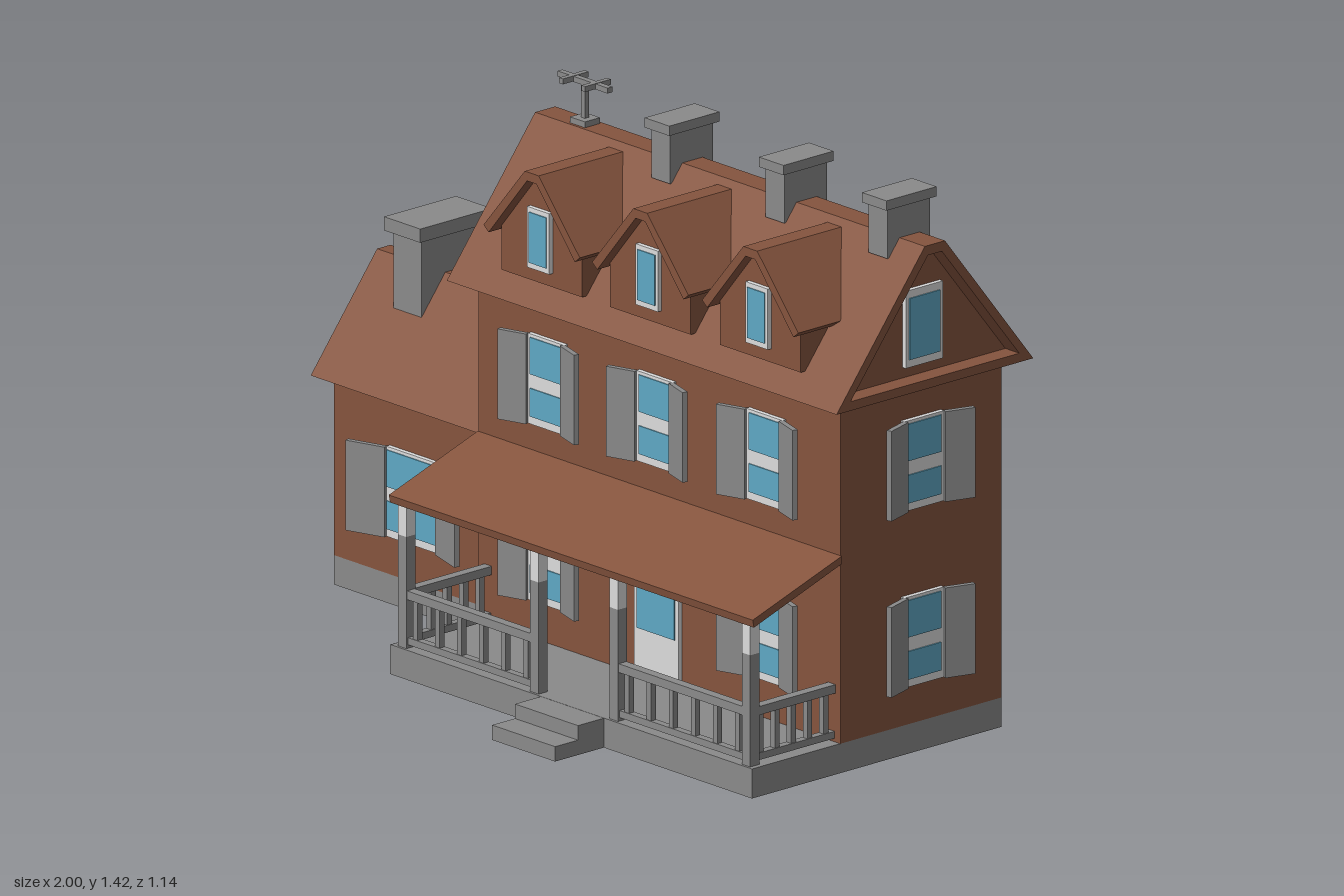
import * as THREE from 'three';

const mat = (name, color, side = THREE.FrontSide) => {
  const m = new THREE.MeshStandardMaterial({ color, side });
  m.name = name;
  return m;
};
const BRICK = mat('brick brown', 0x85543e, THREE.DoubleSide);
const STONE = mat('stone grey', 0x8a8a8a, THREE.DoubleSide);
const TRIM = mat('white trim', 0xdcdcdc);
const GLASS = mat('window blue', 0x5fa8c4);

function add(parent, name, geo, material) {
  const mesh = new THREE.Mesh(geo, material);
  mesh.name = name;
  parent.add(mesh);
  return mesh;
}

// Box given by its min and max on each axis; faces in "skip" are left out (2 = top, 3 = bottom)
function block(parent, name, [x0, x1], [y0, y1], [z0, z1], material, skip = []) {
  const geo = new THREE.BoxGeometry(x1 - x0, y1 - y0, z1 - z0);
  geo.translate((x0 + x1) / 2, (y0 + y1) / 2, (z0 + z1) / 2);
  if (skip.length) {
    const index = Array.from(geo.index.array).filter((_, i) => !skip.includes(Math.floor(i / 6)));
    geo.setIndex(index);
    geo.clearGroups();
  }
  return add(parent, name, geo, material);
}

// Profile of [z, y] points drawn out along x
function prismX(parent, name, pts, x0, x1, material, hole) {
  const flip = (p) => p.map(([z, y]) => new THREE.Vector2(-z, y));
  const shape = new THREE.Shape(flip(pts));
  if (hole) shape.holes.push(new THREE.Path(flip(hole)));
  const geo = new THREE.ExtrudeGeometry(shape, { depth: x1 - x0, bevelEnabled: false });
  geo.rotateY(Math.PI / 2).translate(x0, 0, 0);
  return add(parent, name, geo, material);
}

// Profile of [x, y] points drawn out along z
function prismZ(parent, name, pts, z0, z1, material) {
  const shape = new THREE.Shape(pts.map(([x, y]) => new THREE.Vector2(x, y)));
  const geo = new THREE.ExtrudeGeometry(shape, { depth: z1 - z0, bevelEnabled: false });
  geo.translate(0, 0, z0);
  return add(parent, name, geo, material);
}

// Local frame facing +z, turned to sit on a wall
function mount(parent, name, x, y, z, turn) {
  const g = new THREE.Group();
  g.name = name;
  g.position.set(x, y, z);
  g.rotation.y = turn;
  parent.add(g);
  return g;
}

// Plate with a frame and panes, each pane [x half width, y0, y1]
function glazed(g, w, h, panes, depth = 0.012) {
  block(g, 'frame', [-w / 2, w / 2], [0, h], [-0.005, depth], TRIM);
  for (const [hw, y0, y1] of panes)
    block(g, 'pane', [-hw, hw], [y0, y1], [depth - 0.002, depth + 0.003], GLASS);
}

// Two-pane window with shutters that stand slightly off the wall
function shutteredWindow(parent, x, y, z, turn, w = 0.13, sw = 0.077) {
  const g = mount(parent, 'shutteredWindow', x, y, z, turn);
  const hw = w / 2 - (w > 0.15 ? 0.004 : 0.011);
  glazed(g, w, 0.23, [[hw, 0.02, 0.092], [hw, 0.128, 0.222]]);
  for (const s of [-1, 1]) {
    const hinge = mount(g, 'shutter', s * w / 2, 0, 0.008, -s * 0.3);
    const span = s > 0 ? [0, sw * 1.04] : [-sw * 1.04, 0];
    block(hinge, 'shutterPanel', span, [0, 0.23], [0, 0.014], STONE);
  }
}

function door(parent, x, z, turn) {
  const g = mount(parent, 'door', x, 0.075, z, turn);
  glazed(g, 0.16, 0.33, [[0.068, 0.125, 0.32]]);
}

// Hollow gable roof with a flattened ridge and a filled gable set back under it
function gableRoof(parent, name, c, half, ridge, y0, y1, [x0, x1], [g0, g1]) {
  const outer = [[c + half, y0], [c + ridge, y1], [c - ridge, y1], [c - half, y0]];
  const ih = half - 0.046, ir = ridge - 0.01;
  const inner = [[c + ih, y0 + 0.023], [c + ir, y1 - 0.025], [c - ir, y1 - 0.025], [c - ih, y0 + 0.023]];
  prismX(parent, name, outer, x0, x1, BRICK, inner);
  prismX(parent, name + 'Gable', inner, g0, g1, BRICK);
}

function chimney(parent, x, w, z0, z1, y0, y1, cap) {
  const g = mount(parent, 'chimney', x, 0, 0, 0);
  block(g, 'chimneyStack', [-w / 2, w / 2], [y0, y1 - cap], [z0, z1], STONE);
  const o = w * 0.15;
  block(g, 'chimneyCap', [-w / 2 - o, w / 2 + o], [y1 - cap, y1], [z0 - o * 1.2, z1 + o * 1.2], STONE);
}

function dormer(parent, x) {
  const g = mount(parent, 'dormer', x, 0, 0, 0);
  prismZ(g, 'dormerBody', [[-0.145, 1.0], [0.145, 1.0], [0.145, 1.12], [0.02, 1.275], [-0.02, 1.275], [-0.145, 1.12]],
    -0.08, 0.145, BRICK);
  const right = [[0.025, 1.288], [0.173, 1.115], [0.155, 1.1], [0.017, 1.265]];
  const left = right.map(([a, b]) => [-a, b]).reverse();
  prismZ(g, 'dormerRoof', [...right, ...left], -0.1, 0.178, BRICK);
  glazed(mount(g, 'dormerWindow', 0, 1.035, 0.145, 0), 0.08, 0.155, [[0.031, 0.014, 0.143]]);
}

// Railing of two rails and evenly spaced balusters along local x, starting at the origin
function railing(parent, x, z, turn, length, count) {
  const g = mount(parent, 'railing', x, 0, z, turn);
  block(g, 'topRail', [0, length], [0.2, 0.222], [-0.013, 0.013], STONE);
  block(g, 'bottomRail', [0, length], [0.084, 0.102], [-0.01, 0.01], STONE);
  for (let i = 0; i < count; i++) {
    const p = (i + 0.5) * length / count;
    block(g, 'baluster', [p - 0.008, p + 0.008], [0.1, 0.202], [-0.008, 0.008], STONE);
  }
}

export function createModel() {
  const house = new THREE.Group();
  house.name = 'house';
  const Q = Math.PI / 2, bays = [-0.095, 0.295, 0.69], mid = -0.145;

  // Foundations, open underneath
  block(house, 'foundation', [-0.35, 0.95], [0, 0.075], [-0.41, 0.41], STONE, [2, 3]);
  block(house, 'annexFoundation', [-0.95, -0.35], [0, 0.075], [-0.345, 0.045], STONE, [2, 3]);
  block(house, 'porchFloor', [-0.349, 0.949], [0.07, 0.075], [0.12, 0.409], STONE);
  for (const s of [-1, 1]) {
    const g = mount(house, 'steps', 0.305, 0, 0, s > 0 ? 0 : Math.PI);
    block(g, 'upperStep', [-0.113, 0.113], [0, 0.075], [0.41, 0.495], STONE, [3]);
    block(g, 'lowerStep', [-0.113, 0.113], [0, 0.038], [0.495, 0.57], STONE, [3]);
  }

  // Hollow walls and roofs
  block(house, 'mainWalls', [-0.35, 0.95], [0.075, 0.945], [-0.41, 0.12], BRICK, [2, 3]);
  block(house, 'annexWalls', [-0.95, -0.35], [0.075, 0.54], [-0.345, 0.045], BRICK, [2, 3]);
  gableRoof(house, 'mainRoof', mid, 0.323, 0.033, 0.94, 1.305, [-0.4, 1], [-0.35, 0.95]);
  gableRoof(house, 'annexRoof', -0.15, 0.24, 0.022, 0.535, 0.81, [-0.985, -0.35], [-0.95, -0.35]);

  // Windows and doors, front and back
  for (const [i, x] of bays.entries()) {
    for (const [z, turn] of [[0.12, 0], [-0.41, Math.PI]]) {
      shutteredWindow(house, x, 0.625, z, turn);
      if (i === 1) door(house, x + 0.007, z, turn);
      else shutteredWindow(house, x, 0.175, z, turn);
    }
    dormer(house, x);
  }
  for (const y of [0.175, 0.625]) shutteredWindow(house, 0.95, y, mid, Q);
  shutteredWindow(house, -0.655, 0.175, 0.045, 0, 0.19, 0.105);
  shutteredWindow(house, -0.655, 0.175, -0.345, Math.PI, 0.19, 0.105);
  shutteredWindow(house, -0.95, 0.175, -0.15, -Q);

  // Gable windows
  for (const [x, turn] of [[0.95, Q], [-0.35, -Q]])
    glazed(mount(house, 'gableWindow', x, 0.99, mid, turn), 0.122, 0.197, [[0.05, 0.02, 0.177]]);
  glazed(mount(house, 'annexGableWindow', -0.95, 0.6, -0.15, -Q), 0.085, 0.13, [[0.033, 0.014, 0.116]]);

  // Skylights on the rear slope
  const slope = Math.atan2(0.365, 0.29);
  for (const x of [-0.085, 0.297, 0.678]) {
    const g = mount(house, 'skylight', x, 1.118, -0.325, Math.PI);
    const tilt = mount(g, 'skylightPanel', 0, 0, 0, 0);
    tilt.rotation.x = slope - Q;
    const panel = mount(tilt, 'skylightGlazing', 0, -0.145, 0, 0);
    glazed(panel, 0.142, 0.29, [[0.052, 0.025, 0.265]], 0.022);
  }

  // Porch roof, posts and railings
  prismX(house, 'porchRoof', [[0.12, 0.555], [0.412, 0.457], [0.408, 0.437], [0.12, 0.535]], -0.352, 0.955, BRICK);
  for (const x of [-0.315, 0.16, 0.445, 0.92]) {
    block(house, 'porchPost', [x - 0.015, x + 0.015], [0.07, 0.36], [0.372, 0.402], STONE);
    block(house, 'porchPostTop', [x - 0.015, x + 0.015], [0.36, 0.447], [0.372, 0.402], TRIM);
  }
  for (const x of [-0.315, 0.445]) railing(house, x, 0.387, 0, 0.475, 6);
  for (const x of [-0.315, 0.92]) railing(house, x, 0.387, Q, 0.267, 5);

  // Chimneys
  for (const x of [0.095, 0.505, 0.875]) chimney(house, x, 0.068, -0.212, -0.072, 1.26, 1.413, 0.025);
  chimney(house, -0.79, 0.1, -0.25, -0.05, 0.7, 0.945, 0.035);

  // Roof aerial
  const aerial = mount(house, 'aerial', -0.257, 0, mid, 0);
  block(aerial, 'aerialFoot', [-0.027, 0.027], [1.303, 1.32], [-0.025, 0.025], STONE);
  block(aerial, 'aerialPole', [-0.007, 0.007], [1.32, 1.41], [-0.007, 0.007], STONE);
  block(aerial, 'aerialBoom', [-0.09, 0.09], [1.404, 1.418], [-0.008, 0.008], STONE);
  for (const x of [-0.04, 0.04])
    block(aerial, 'aerialArm', [x - 0.007, x + 0.007], [1.405, 1.419], [-0.042, 0.042], STONE);
  return house;
}
